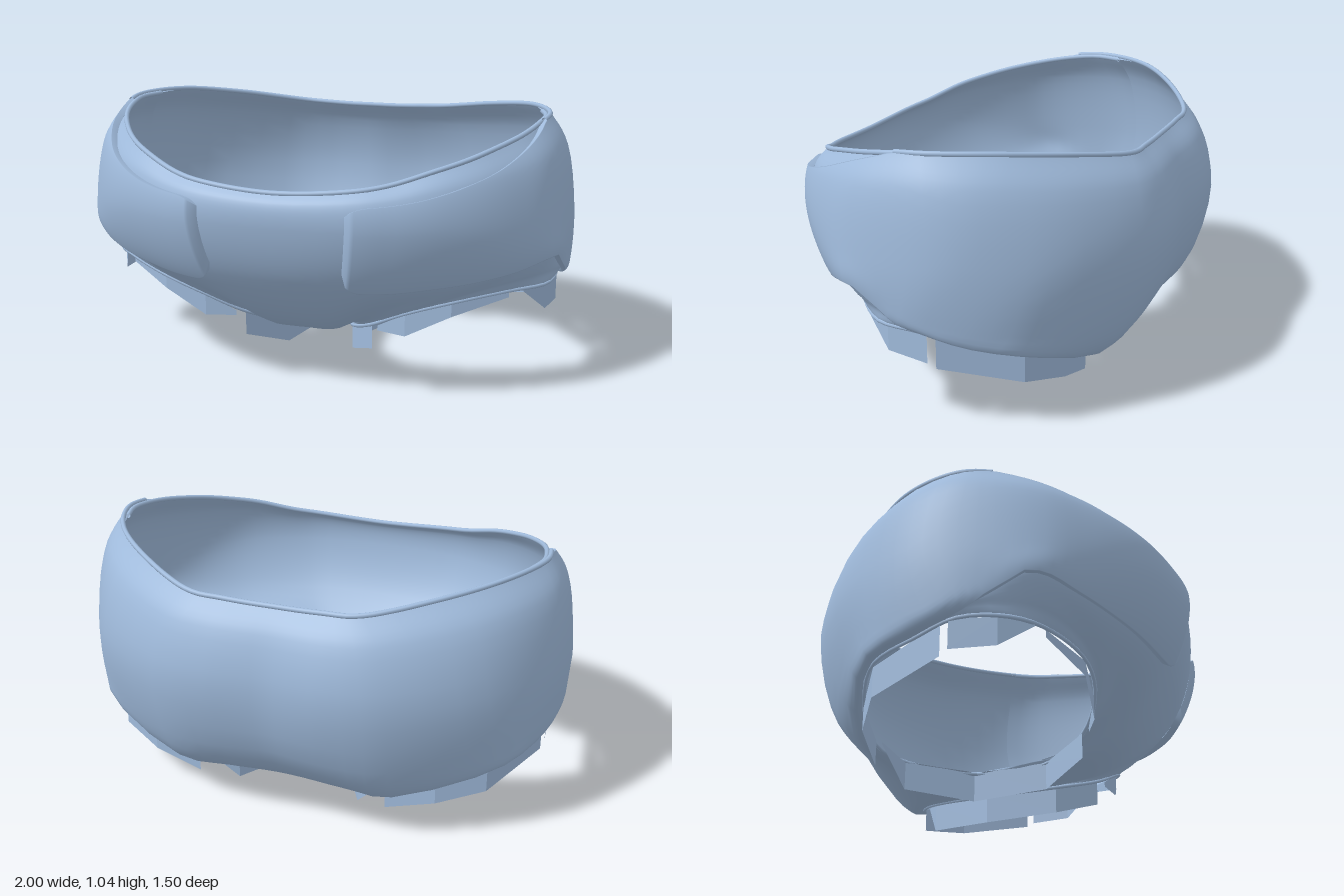
import * as THREE from 'three';

const fabric = new THREE.MeshStandardMaterial({ color: 0xa0bbdc, side: THREE.DoubleSide });
fabric.name = 'paleBlueFabric';
const frill = new THREE.MeshStandardMaterial({ color: 0xa0bbdc, side: THREE.DoubleSide, flatShading: true });
frill.name = 'paleBlueFrill';

// Half loops from front centre round the +x side to back centre
const waist = [[0, .805, .695], [.3, .825, .665], [.42, .845, .62], [.55, .885, .55], [.66, .92, .465],
  [.75, .955, .365], [.835, .99, .22], [.88, 1.015, .06], [.885, 1.025, -.07], [.785, 1.022, -.29],
  [.59, .99, -.475], [.33, .945, -.62], [.2, .938, -.625], [.1, .935, -.625], [0, .935, -.625]];
const belly = [[0, .68, .735], [.3, .68, .715], [.45, .68, .67], [.6, .68, .6], [.73, .66, .51],
  [.85, .64, .39], [.94, .64, .26], [.985, .64, .06], [.985, .64, -.15], [.92, .64, -.32],
  [.76, .63, -.53], [.45, .61, -.72], [.25, .61, -.755], [.12, .61, -.75], [0, .61, -.74]];
const lip = [[0, .46, .66], [.26, .46, .64], [.40, .46, .6], [.55, .47, .54], [.7, .48, .46],
  [.84, .5, .36], [.95, .53, .24], [.985, .5, .06], [.99, .45, -.08], [.93, .42, -.29],
  [.8, .38, -.46], [.44, .28, -.64], [.25, .28, -.66], [.11, .29, -.66], [0, .3, -.66]];
const tuck = [[0, .2, .40], [.12, .19, .37], [.25, .26, .40], [.38, .31, .42], [.55, .36, .42],
  [.72, .40, .36], [.88, .43, .25], [.97, .43, .08], [.98, .40, -.06], [.94, .35, -.22],
  [.82, .3, -.42], [.43, .16, -.54], [.26, .14, -.50], [.11, .13, -.46], [0, .13, -.46]];
const hem = [[0, .1, -.12], [.13, .115, -.14], [.14, .14, .15], [.26, .2, .3], [.42, .285, .37],
  [.6, .345, .36], [.8, .38, .25], [.92, .38, .12], [.94, .38, -.05], [.9, .34, -.2],
  [.78, .295, -.4], [.42, .17, -.49], [.27, .14, -.42], [.13, .115, -.14], [0, .1, -.12]];

// Rounded shoulder just under the waist, fullest at the front
const shoulder = waist.map((w, i) => {
  const out = Math.max(.62, .85 - i * .04), b = belly[i];
  return [w[0] + (b[0] - w[0]) * out, w[1] + (b[1] - w[1]) * .3, w[2] + (b[2] - w[2]) * out];
});

const vec = ([x, y, z]) => new THREE.Vector3(x, y, z);
const { smoothstep, lerp, clamp } = THREE.MathUtils;

// Closed smooth loop from a half loop and its mirror
function fullLoop(half) {
  const pts = half.map(vec);
  for (let i = half.length - 2; i > 0; i--) pts.push(vec([-half[i][0], half[i][1], half[i][2]]));
  return new THREE.CatmullRomCurve3(pts, true);
}
const rows = [waist, shoulder, belly, lip, tuck, hem].map(fullLoop);
const COLS = 28, PANEL_END = 8.4, TAB_END = .93;

// Point on the body: u in columns round the waist, v from waist (0) to hem (1)
function surface(u, v) {
  const t = (((u % COLS) + COLS) % COLS) / COLS;
  return new THREE.CatmullRomCurve3(rows.map(r => r.getPoint(t))).getPoint(v);
}

// Same point moved outward along the surface normal
function offsetSurface(u, v, d) {
  const vc = clamp(v, .01, .99);
  const du = surface(u + .05, vc).sub(surface(u - .05, vc));
  const dv = surface(u, vc + .01).sub(surface(u, vc - .01));
  return surface(u, v).addScaledVector(dv.cross(du).normalize(), d);
}

// How far the front panel lies under the wings; m is columns from front centre
const inset = (m, v) => .018 * smoothstep(m, 3, 6) * (1 - smoothstep(m, 8.4, 9.2)) * (1 - smoothstep(v, .84, 1));

const panelPoint = (u, v) => offsetSurface(u, v, -inset(Math.abs(u), v));

// Back shell whose wings run forward round the hips and end in rounded tabs
function wingPoint(a, b) {
  const u = TAB_END + (COLS - 2 * TAB_END) * (a - .1 * Math.sin(2 * Math.PI * a));
  const m = Math.min(u, COLS - u);
  const k = clamp((m - TAB_END) / .5, 0, 1);
  const span = .7 + .3 * Math.sqrt(1 - (1 - k) ** 2);
  const top = lerp(.23, 0, clamp((m - 2.5) / 4.5, 0, 1) ** 1.5);
  const bottom = lerp(.605, 1, clamp((m - 6.3) / (PANEL_END - 6.3), 0, 1));
  const v = (top + bottom) / 2 - (bottom - top) / 2 * span * Math.cos(Math.PI * b);
  const edge = a === 0 || a === 1 || ((b === 0 || b === 1) && m < 9);
  const lift = lerp(.03, .01, smoothstep(m, 2, 6)) * (1 - smoothstep(m, 6, 9));
  return offsetSurface(u, v, edge ? .001 - inset(m, v) : lift);
}

// Grid geometry over the unit square
function grid(fn, nu, nv) {
  const pos = [], idx = [];
  for (let i = 0; i <= nu; i++)
    for (let j = 0; j <= nv; j++) pos.push(...fn(i / nu, j / nv).toArray());
  for (let i = 0; i < nu; i++) {
    const p = i * (nv + 1), q = p + nv + 1;
    for (let j = 0; j < nv; j++)
      idx.push(p + j, p + j + 1, q + j, q + j, p + j + 1, q + j + 1);
  }
  const g = new THREE.BufferGeometry();
  g.setAttribute('position', new THREE.Float32BufferAttribute(pos, 3));
  g.setIndex(idx);
  g.computeVertexNormals();
  return g;
}

function mirrored(geo) {
  const g = geo.clone().scale(-1, 1, 1), a = g.index.array;
  for (let i = 0; i < a.length; i += 3) [a[i], a[i + 1]] = [a[i + 1], a[i]];
  g.computeVertexNormals();
  return g;
}

// Rolled edge along the waist between two columns
function rim(fn, from, to) {
  const pts = [];
  for (let i = 0; i <= 40; i++) pts.push(fn(lerp(from, to, i / 40), 0));
  return new THREE.TubeGeometry(new THREE.CatmullRomCurve3(pts), 80, .01, 8);
}

// Frill pieces round the leg opening: top point and drop
const frills = {
  innerLegFrill: [[.27, .2, .3, .1], [.14, .14, .14, .11], [.13, .12, -.15, .12], [.26, .13, -.4, .11], [.39, .17, -.46, .01]],
  backLegFrill: [[.4, .17, -.48, .1], [.6, .23, -.475, .1], [.78, .295, -.39, .12], [.93, .37, -.11, .13]],
  sideLegFrill: [[.94, .38, -.08, .12], [.92, .38, .09, .11], [.85, .38, .21, .01]],
  frontLegFrill: [[.8, .38, .24, .03], [.6, .345, .355, .06], [.42, .28, .365, .09], [.3, .21, .33, .02]],
};

function frillGeometry(pts) {
  const n = pts.length - 1;
  return grid((a, b) => {
    const [x, y, z, drop] = pts[Math.round(a * n)];
    return new THREE.Vector3(x, y - drop * b, z);
  }, n, 1);
}

export function createModel() {
  const group = new THREE.Group();
  const add = (name, geo, mat = fabric) => {
    const m = new THREE.Mesh(geo, mat);
    m.name = name;
    group.add(m);
  };
  const addPair = (name, geo, mat) => {
    add(name + 'Left', geo, mat);
    add(name + 'Right', mirrored(geo), mat);
  };

  // Front panel tucked under the back shell and its tabs
  add('frontPanel', grid((a, b) => panelPoint(lerp(-PANEL_END, PANEL_END, a), b), 56, 30));
  add('backShellWithTabs', grid(wingPoint, 110, 28));

  // Rolled waist edges
  add('frontWaistRim', rim(panelPoint, -PANEL_END, PANEL_END));
  add('backWaistRim', rim(surface, 7, COLS - 7));

  // Rolled leg openings
  const leg = new THREE.CatmullRomCurve3(hem.slice(1, 13).map(vec), true);
  addPair('legRim', new THREE.TubeGeometry(leg, 60, .008, 6, true));

  // Leg frills
  for (const [name, pts] of Object.entries(frills)) addPair(name, frillGeometry(pts), frill);

  return group;
}
